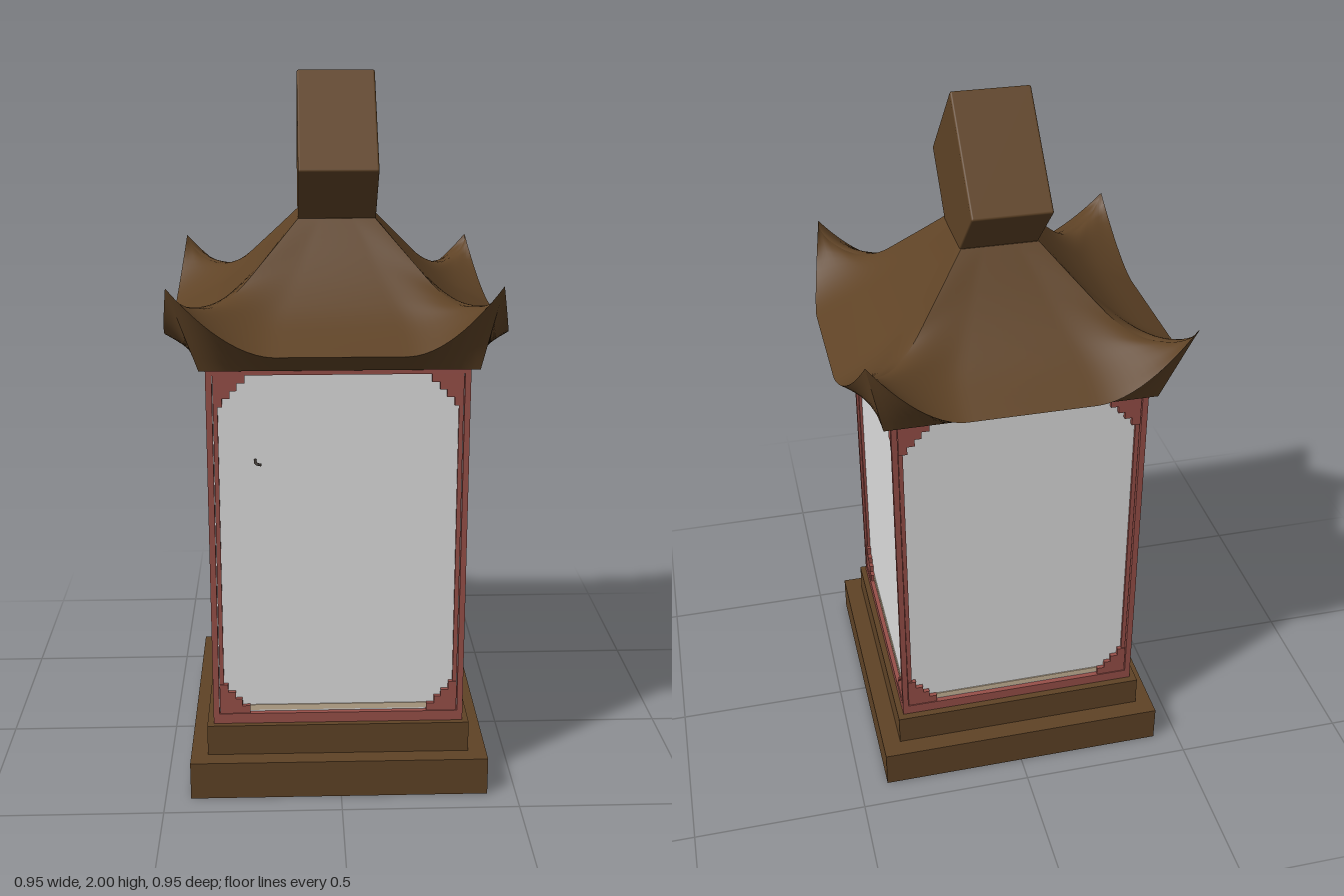
import * as THREE from 'three';
import { RoundedBoxGeometry } from 'three/addons/geometries/RoundedBoxGeometry.js';

const mat = (name, color) => {
  const m = new THREE.MeshStandardMaterial({ color });
  m.name = name;
  return m;
};

const lerp = THREE.MathUtils.lerp;

// Grid surface repeated on four sides; point(u, t) gives [x, y, z, tipAmount] for the front side
function fourSided(rows, cols, point) {
  const pos = [], idx = [];
  for (let k = 0; k < 4; k++) {
    const base = pos.length / 3, c = Math.round(Math.cos(k * Math.PI / 2)), s = Math.round(Math.sin(k * Math.PI / 2));
    for (let i = 0; i <= rows; i++) {
      for (let j = 0; j <= cols; j++) {
        const [x, y, z, tip] = point(i / rows, (j / cols) * 2 - 1);
        pos.push(c * x + s * z - 0.014 * tip, y, -s * x + c * z - 0.004 * tip);
      }
    }
    for (let i = 0; i < rows; i++) {
      for (let j = 0; j < cols; j++) {
        const a = base + i * (cols + 1) + j, b = a + cols + 1;
        idx.push(a, b, b + 1, a, b + 1, a + 1);
      }
    }
  }
  const g = new THREE.BufferGeometry();
  g.setAttribute('position', new THREE.Float32BufferAttribute(pos, 3));
  g.setIndex(idx);
  g.computeVertexNormals();
  return g;
}

export function createModel() {
  const wood = mat('dark wood', 0x5f4326);
  const red = mat('red lacquer', 0x985049);
  const paper = mat('pale pane', 0xdfdfdf);
  const tan = mat('tan sill', 0xcbb79a);
  const iron = mat('dark iron', 0x3a332e);

  const model = new THREE.Group();
  model.name = 'lantern';
  const add = (parent, name, geo, material, x = 0, y = 0, z = 0) => {
    const m = new THREE.Mesh(geo, material);
    m.name = name;
    m.position.set(x, y, z);
    parent.add(m);
    return m;
  };
  const box = (parent, name, material, w, h, d, x, y, z) =>
    add(parent, name, new THREE.BoxGeometry(w, h, d), material, x, y, z);

  // Stepped base
  box(model, 'lowerBase', wood, 0.846, 0.11, 0.85, -0.005, 0.055, 0.002);
  box(model, 'upperBase', wood, 0.746, 0.09, 0.746, -0.007, 0.155, 0.003);

  // Body: corner posts, then a framed pane on each open side
  const body = new THREE.Group();
  body.name = 'body';
  body.position.set(-0.006, 0, 0.005);
  model.add(body);
  const H = 0.355, Y0 = 0.2, Y1 = 1.245, MID = (Y0 + Y1) / 2, P = 0.016;
  for (const sx of [-1, 1]) for (const sz of [-1, 1]) {
    box(body, 'cornerPost', red, P, Y1 - Y0, P, sx * (H - P / 2), MID, sz * (H - P / 2));
  }

  // Stair-stepped corner bracket in the corner (sx, sy)
  const bracket = (sx, sy) => {
    const cx = sx * 0.337, cy = sy > 0 ? 1.226 : 0.229;
    const steps = [[0, 0], [0.086, 0], [0.086, 0.024], [0.064, 0.024], [0.064, 0.045],
      [0.045, 0.045], [0.045, 0.066], [0.024, 0.066], [0.024, 0.09], [0, 0.09]];
    const shape = new THREE.Shape(steps.map(([x, y]) => new THREE.Vector2(cx - sx * x, cy - sy * y)));
    return new THREE.ExtrudeGeometry(shape, { depth: 0.012, bevelEnabled: false });
  };

  const sides = [['front', 0], ['left', Math.PI / 2], ['back', Math.PI]];
  for (const [label, angle] of sides) {
    const side = new THREE.Group();
    side.name = label + 'Side';
    side.rotation.y = angle;
    body.add(side);
    box(side, 'pane', paper, 0.68, 1.02, 0.008, 0, MID, 0.336);
    box(side, 'sillStrip', tan, 0.53, 0.016, 0.004, 0, 0.243, 0.341);
    box(side, 'topRail', red, 0.68, 0.02, P, 0, Y1 - 0.01, H - P / 2);
    box(side, 'bottomRail', red, 0.68, 0.03, P, 0, Y0 + 0.015, H - P / 2);
    for (const s of [-1, 1]) {
      box(side, 'innerStile', red, 0.012, 0.997, 0.009, s * 0.331, 0.7275, 0.344);
      add(side, 'cornerBracket', bracket(s, 1), red, 0, 0, 0.34);
      add(side, 'cornerBracket', bracket(s, -1), red, 0, 0, 0.34);
    }
  }
  // Solid panel closes the remaining side
  box(body, 'solidPanel', red, 0.014, Y1 - Y0, 2 * H - 0.002, -H + 0.006, MID, 0);

  // Small hooked pull on the front pane
  const hook = new THREE.CatmullRomCurve3([
    new THREE.Vector3(-0.232, 0.984, 0.343), new THREE.Vector3(-0.231, 0.984, 0.368),
    new THREE.Vector3(-0.226, 0.982, 0.377), new THREE.Vector3(-0.216, 0.979, 0.374)]);
  add(model, 'doorPull', new THREE.TubeGeometry(hook, 12, 0.004, 6), iron);

  // Roof: concave slopes whose corners sweep upward
  const roof = new THREE.Group();
  roof.name = 'roof';
  roof.position.set(-0.003, 0, -0.002);
  model.add(roof);
  const curve = (pts) => new THREE.SplineCurve(pts.map(([r, y]) => new THREE.Vector2(r, y)));
  const middle = curve([[0.107, 1.605], [0.2, 1.498], [0.28, 1.42], [0.36, 1.36], [0.474, 1.3]]);
  const hip = curve([[0.107, 1.605], [0.2, 1.505], [0.275, 1.43], [0.34, 1.404], [0.4, 1.42], [0.43, 1.45], [0.437, 1.475]]);
  const slope = (u, t) => {
    const m = middle.getPoint(u), h = hip.getPoint(u);
    const s = Math.max(0, (Math.abs(t) - 0.4) / 0.6);
    return [t * h.x, lerp(m.y, h.y, s ** 1.8), lerp(m.x, h.x, s ** 1.6), s * u * u];
  };
  add(roof, 'roofSlopes', fourSided(24, 40, slope), wood);
  const IN = 0.375;
  const under = (v, t) => {
    const e = slope(1, t);
    return [lerp(e[0], t * IN, v), lerp(e[1], 1.24, v), lerp(e[2], IN, v), e[3] * (1 - v)];
  };
  add(roof, 'eaveUnderside', fourSided(6, 40, under), wood);
  box(roof, 'soffit', wood, 2 * IN, 0.008, 2 * IN, 0, 1.244, 0);
  box(roof, 'roofCap', wood, 0.212, 0.02, 0.212, 0, 1.595, 0);

  // Block finial standing on its edge
  const finial = add(model, 'finial', new RoundedBoxGeometry(0.216, 0.355, 0.355, 2, 0.006), wood, -0.002, 1.7515, -0.002);
  finial.rotation.x = Math.PI / 4;

  return model;
}
